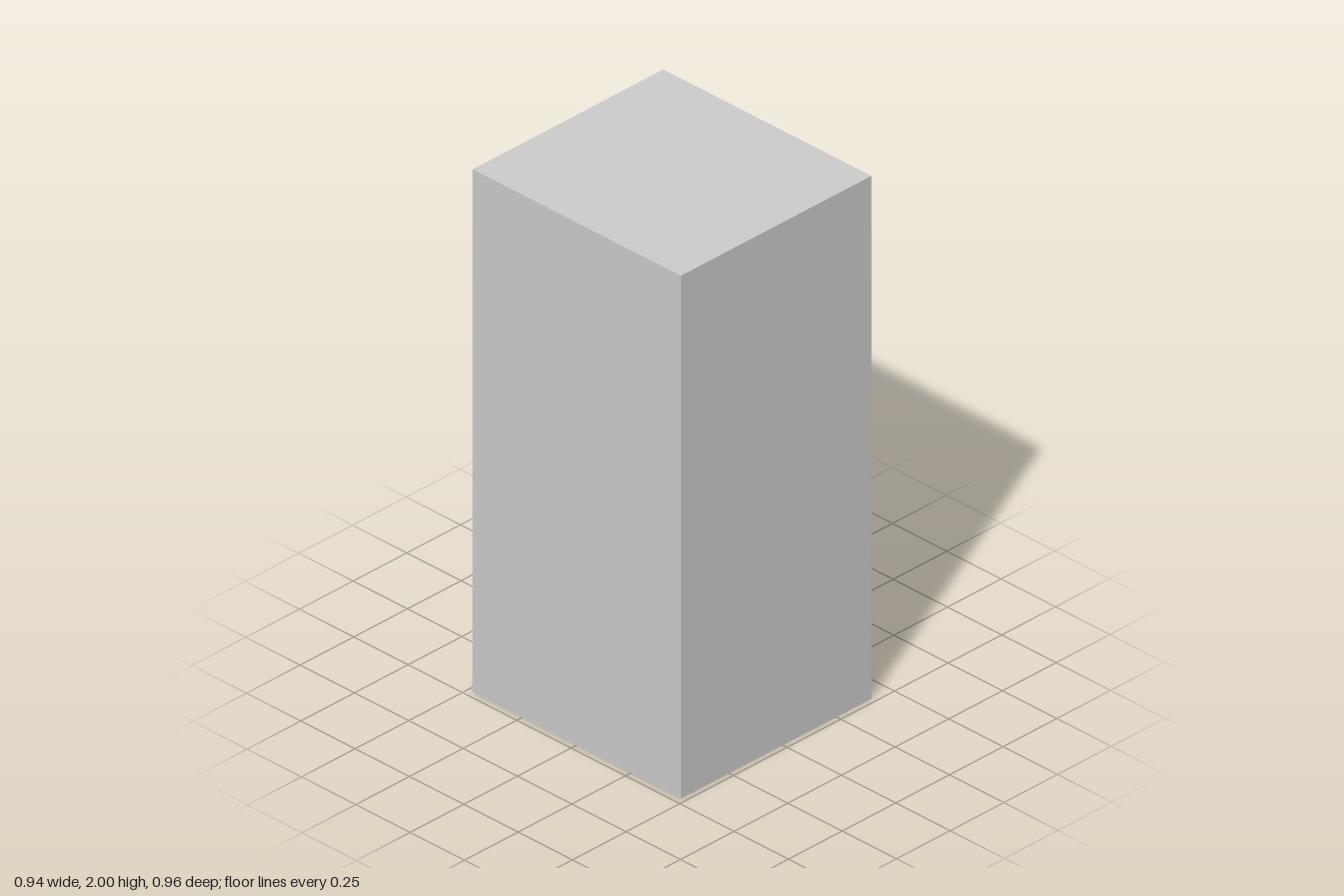
import * as THREE from 'three';

const grey = new THREE.MeshStandardMaterial({ color: 0xcccccc });
const X0 = -0.475, X1 = 0.413, H = 2, Z0 = -0.478, Z1 = 0.48;
const HANDLE_Z = 0.362;

function add(parent, name, geometry, x = 0, y = 0, z = 0) {
  const mesh = new THREE.Mesh(geometry, grey);
  mesh.name = name;
  mesh.position.set(x, y, z);
  parent.add(mesh);
  return mesh;
}

// Box with one of its six sides left out
function openBox(w, h, d, side) {
  const g = new THREE.BoxGeometry(w, h, d);
  const index = Array.from(g.index.array);
  index.splice(side * 6, 6);
  g.setIndex(index);
  g.clearGroups();
  return g;
}

function rectangle(path, a0, a1, b0, b1) {
  return path.moveTo(a0, b0).lineTo(a1, b0).lineTo(a1, b1).lineTo(a0, b1).closePath();
}

// Loft of chamfered rectangles along x: each section is [x, yLow, yHigh, halfWidth]
function loft(sections, c) {
  const pos = [], index = [];
  for (const [x, y0, y1, w] of sections) {
    const ring = [[y0 + c, -w], [y1 - c, -w], [y1, c - w], [y1, w - c],
      [y1 - c, w], [y0 + c, w], [y0, w - c], [y0, c - w]];
    for (const [y, z] of ring) pos.push(x, y, z);
  }
  for (let s = 0; s < sections.length - 1; s++) {
    for (let i = 0; i < 8; i++) {
      const a = s * 8 + i, b = s * 8 + (i + 1) % 8;
      index.push(a, b, a + 8, b, b + 8, a + 8);
    }
  }
  const g = new THREE.BufferGeometry();
  g.setAttribute('position', new THREE.Float32BufferAttribute(pos, 3));
  g.setIndex(index);
  const flat = g.toNonIndexed();
  flat.computeVertexNormals();
  return flat;
}

function createCabinet() {
  const cabinet = new THREE.Group();
  cabinet.name = 'cabinet';
  add(cabinet, 'cabinetShell', openBox(X1 - X0, H, Z1 - Z0, 0),
    (X0 + X1) / 2, H / 2, (Z0 + Z1) / 2);

  // Door face with a shallow rectangular panel sunk into it
  const p = { z0: -0.14, z1: 0.147, y0: 1.645, y1: 1.828, depth: 0.013 };
  const face = rectangle(new THREE.Shape(), -Z1, -Z0, 0, H);
  face.holes.push(rectangle(new THREE.Path(), -p.z1, -p.z0, p.y0, p.y1));
  add(cabinet, 'doorFace', new THREE.ShapeGeometry(face).rotateY(Math.PI / 2), X1);

  const recess = openBox(p.depth, p.y1 - p.y0, p.z1 - p.z0, 1).scale(-1, -1, -1);
  recess.computeVertexNormals();
  add(cabinet, 'panelRecess', recess,
    X1 - p.depth / 2, (p.y0 + p.y1) / 2, (p.z0 + p.z1) / 2);
  return cabinet;
}

function createHandle() {
  const handle = new THREE.Group();
  handle.name = 'handle';

  // Upright grip with chamfered edges
  const x0 = 0.437, x1 = 0.469, w = 0.022, c = 0.006;
  const section = new THREE.Shape([
    [x0, -w + c], [x0 + c, -w], [x1 - c, -w], [x1, -w + c],
    [x1, w - c], [x1 - c, w], [x0 + c, w], [x0, w - c],
  ].map(([x, y]) => new THREE.Vector2(x, y)));
  const grip = new THREE.ExtrudeGeometry(section, { depth: 0.685, bevelEnabled: false });
  add(handle, 'handleGrip', grip.rotateX(-Math.PI / 2), 0, 0.941, HANDLE_Z);

  // Flared feet, the lower one turned over
  const foot = [
    [X1, 1.548, 1.639, 0.033],
    [0.418, 1.552, 1.634, 0.028],
    [0.426, 1.556, 1.629, 0.023],
    [0.437, 1.559, 1.626, 0.0205],
    [0.452, 1.56, 1.625, 0.0205],
  ];
  const lowered = foot.map(([x, y0, y1, hw]) => [x, 2.567 - y1, 2.567 - y0, hw]);
  add(handle, 'upperHandleFoot', loft(foot, 0.009), 0, 0, HANDLE_Z);
  add(handle, 'lowerHandleFoot', loft(lowered, 0.009), 0, 0, HANDLE_Z);
  return handle;
}

// Thin hinge: two leaves either side of a segmented pin
function createHinge(name, y) {
  const hinge = new THREE.Group();
  hinge.name = name;
  hinge.position.set(0, y, Z0);
  add(hinge, 'outerLeaf', new THREE.BoxGeometry(0.053, 0.118, 0.008), 0.2775, 0, 0);
  add(hinge, 'innerLeaf', new THREE.BoxGeometry(0.045, 0.118, 0.008), 0.2235, 0, 0);
  for (let i = -1; i <= 1; i++) {
    add(hinge, 'hingeKnuckle', new THREE.CylinderGeometry(0.0045, 0.0045, 0.032, 12),
      0.2485, i * 0.038, 0);
  }
  return hinge;
}

export function createModel() {
  const model = new THREE.Group();
  model.name = 'refrigerator';
  model.add(createCabinet(), createHandle(),
    createHinge('upperHinge', 1.84), createHinge('lowerHinge', 1.037));
  return model;
}
